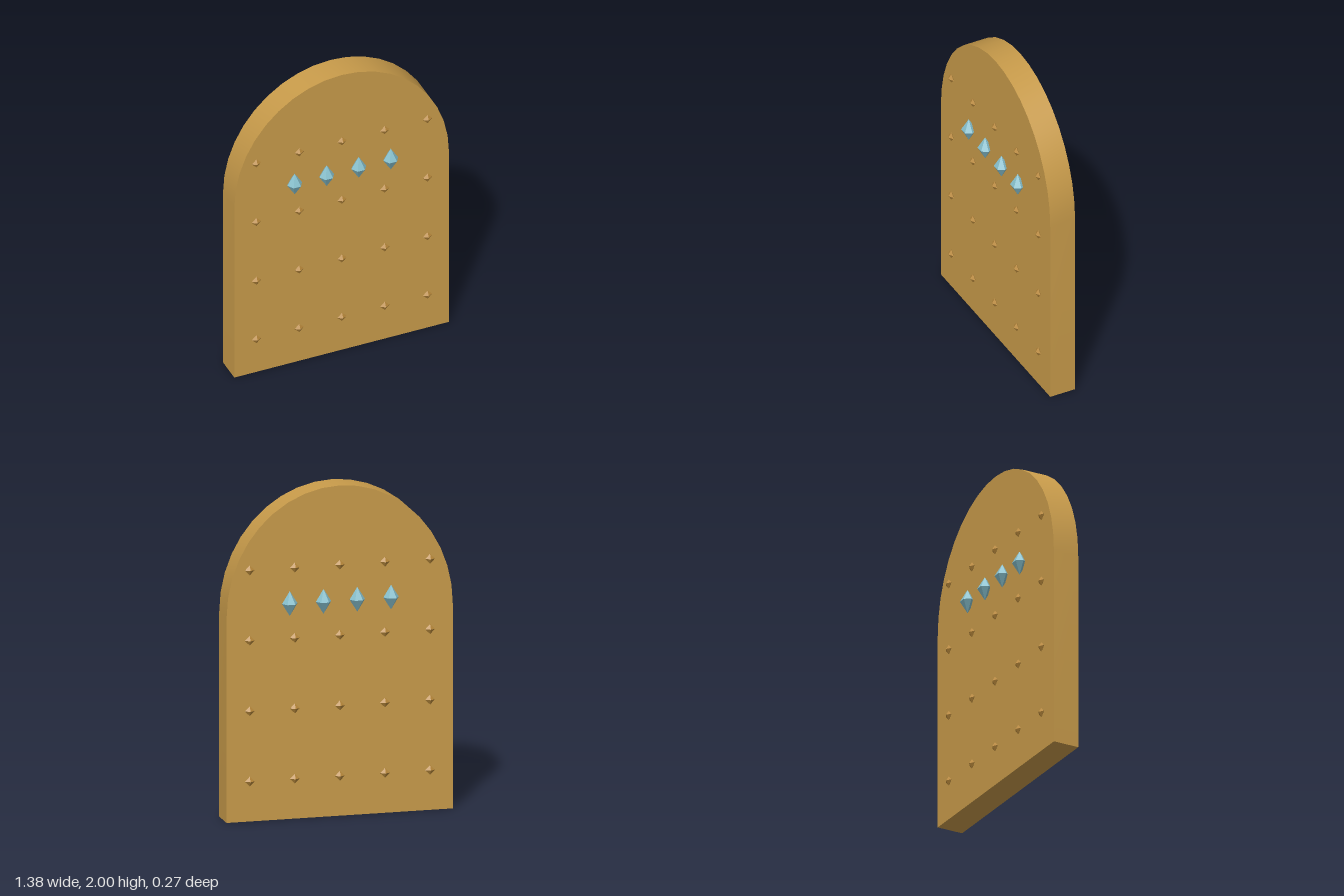
import * as THREE from 'three';
import { toCreasedNormals } from 'three/addons/utils/BufferGeometryUtils.js';

const HALF_WIDTH = 0.69, SPRING = 1.24, HEIGHT = 2, DEPTH = 0.165;

export function createModel() {
  const door = new THREE.Group();
  door.name = 'archedDoor';

  const wood = new THREE.MeshStandardMaterial({ name: 'golden wood', color: 0xc89b4a });
  const brass = new THREE.MeshStandardMaterial({ name: 'brass', color: 0xba8a3c, flatShading: true });
  const crystal = new THREE.MeshStandardMaterial({ name: 'pale blue crystal', color: 0x86bfcc, flatShading: true });

  // Slab with a half-ellipse top
  const outline = new THREE.Shape();
  outline.moveTo(-HALF_WIDTH, 0);
  outline.lineTo(HALF_WIDTH, 0);
  outline.lineTo(HALF_WIDTH, SPRING);
  outline.absellipse(0, SPRING, HALF_WIDTH, HEIGHT - SPRING, 0, Math.PI, false);
  outline.lineTo(-HALF_WIDTH, 0);
  const slabGeometry = new THREE.ExtrudeGeometry(outline, {
    depth: DEPTH, bevelEnabled: false, curveSegments: 10,
  });
  slabGeometry.translate(0, 0, -DEPTH / 2);
  const slab = new THREE.Mesh(toCreasedNormals(slabGeometry, 0.4), wood);
  slab.name = 'slab';
  door.add(slab);

  // Four-sided studs and six-sided gems, half sunk into both faces
  const studGeometry = new THREE.OctahedronGeometry(0.03).scale(1, 1, 0.6);
  const gemGeometry = new THREE.SphereGeometry(0.047, 6, 2).scale(1, 1.6, 0.95);

  function addPart(name, geometry, material, x, y, z) {
    const part = new THREE.Mesh(geometry, material);
    part.name = name;
    part.position.set(x, y, z);
    door.add(part);
  }

  for (const [sideName, side] of [['front', 1], ['back', -1]]) {
    for (const y of [0.243, 0.669, 1.096, 1.522]) {
      for (let i = -2; i <= 2; i++) {
        addPart(sideName + 'Stud', studGeometry, brass, i * 0.275, y, side * 0.088);
      }
    }
    for (let i = 0; i < 4; i++) {
      addPart(sideName + 'Gem', gemGeometry, crystal, (i - 1.5) * 0.206, 1.308, side * 0.098);
    }
  }
  return door;
}
